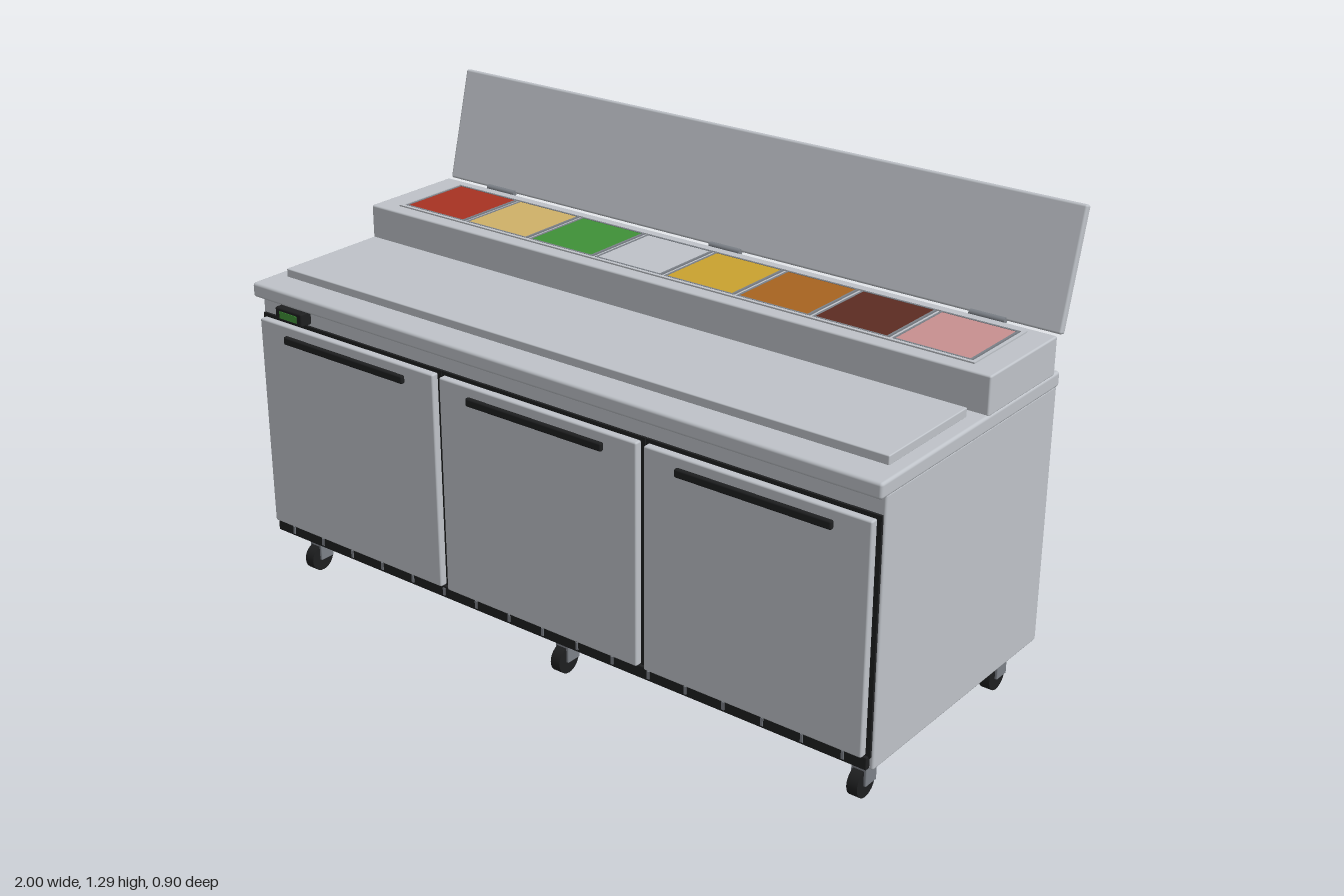
import * as THREE from 'three';
import { RoundedBoxGeometry } from 'three/addons/geometries/RoundedBoxGeometry.js';

const mat = (name, color) => {
  const m = new THREE.MeshStandardMaterial({ color });
  m.name = name;
  return m;
};

export function createModel() {
  const root = new THREE.Group();
  root.name = 'preparationRefrigerator';

  const steel = mat('stainlessSteel', 0xbfc3c9);
  const gunmetal = mat('darkSteel', 0x7c8188);
  const black = mat('black', 0x1e1f20);
  const green = mat('green', 0x3f9138);
  const red = mat('red', 0xa83222);
  const tan = mat('tan', 0xcfb168);
  const gold = mat('gold', 0xcaa22f);
  const orange = mat('orangeBrown', 0xa86420);
  const brown = mat('darkBrown', 0x5c2c22);
  const pink = mat('pink', 0xc89090);

  const add = (name, geometry, material, x = 0, y = 0, z = 0, parent = root) => {
    const mesh = new THREE.Mesh(geometry, material);
    mesh.name = name;
    mesh.position.set(x, y, z);
    parent.add(mesh);
    return mesh;
  };
  // Box given by its extents on each axis; r rounds the edges
  const box = (name, m, [x0, x1], [y0, y1], [z0, z1], r = 0, parent = root) => {
    const s = [x1 - x0, y1 - y0, z1 - z0];
    const g = r ? new RoundedBoxGeometry(...s, 2, r) : new THREE.BoxGeometry(...s);
    return add(name, g, m, (x0 + x1) / 2, (y0 + y1) / 2, (z0 + z1) / 2, parent);
  };

  // Cabinet, worktop, cutting board and raised ingredient rail
  box('cabinet', steel, [-0.995, 0.995], [0.133, 0.845], [-0.36, 0.41], 0.006);
  box('worktop', steel, [-1, 1], [0.843, 0.884], [-0.362, 0.44], 0.008);
  box('cuttingBoard', steel, [-0.96, 0.96], [0.882, 0.907], [0.015, 0.35], 0.003);
  box('ingredientRail', steel, [-0.998, 0.998], [0.88, 0.983], [-0.336, -0.018], 0.005);

  // Flat rectangular frame lying in the xz plane
  const frame = (w, d, border, h) => {
    const rect = (P, a, b) => new P([
      new THREE.Vector2(-a, -b), new THREE.Vector2(a, -b),
      new THREE.Vector2(a, b), new THREE.Vector2(-a, b),
    ]);
    const s = rect(THREE.Shape, w / 2, d / 2);
    s.holes.push(rect(THREE.Path, w / 2 - border, d / 2 - border));
    return new THREE.ExtrudeGeometry(s, { depth: h, bevelEnabled: false }).rotateX(-Math.PI / 2);
  };
  add('railOpeningRim', frame(1.86, 0.25, 0.01, 0.004), steel, 0, 0.983, -0.184);

  // Row of ingredient pans
  [red, tan, green, steel, gold, orange, brown, pink].forEach((m, i) => {
    const x = (i - 3.5) * 0.2303;
    const pan = new THREE.Group();
    pan.name = 'pan';
    pan.position.set(x, 0.982, -0.184);
    root.add(pan);
    add('panRim', frame(0.219, 0.228, 0.006, 0.005), gunmetal, 0, 0, 0, pan);
    box('panContents', m, [-0.104, 0.104], [0, 0.004], [-0.109, 0.109], 0, pan);
  });

  // Open lid, tilted back on three hinges
  const lid = add('lid', new RoundedBoxGeometry(2, 0.318, 0.022, 2, 0.006), steel, 0, 1.133, -0.399);
  lid.rotation.x = -0.262;
  for (const x of [-0.8, 0, 0.8]) {
    add('hinge', new THREE.CylinderGeometry(0.009, 0.009, 0.1, 12).rotateZ(Math.PI / 2),
      gunmetal, x, 0.982, -0.346);
  }

  // Three doors with gaskets and bar handles
  for (const x of [-0.66, 0, 0.66]) {
    const door = new THREE.Group();
    door.name = 'door';
    door.position.x = x;
    root.add(door);
    box('gasket', black, [-0.329, 0.329], [0.168, 0.794], [0.408, 0.417], 0, door);
    box('doorPanel', steel, [-0.319, 0.319], [0.175, 0.786], [0.417, 0.44], 0.005, door);
    box('handle', black, [-0.22, 0.22], [0.737, 0.76], [0.438, 0.452], 0.005, door);
  }

  // Ventilation grille along the bottom
  box('grille', black, [-0.985, 0.985], [0.137, 0.172], [0.409, 0.425], 0.003);
  for (let i = 0; i < 17; i++) {
    const x = (i - 8) * 0.115;
    box('grilleSlat', gunmetal, [x - 0.004, x + 0.004], [0.144, 0.166], [0.421, 0.427]);
  }

  // Temperature display
  box('displayBezel', black, [-0.91, -0.81], [0.8, 0.838], [0.408, 0.446], 0.005);
  box('displayScreen', green, [-0.892, -0.828], [0.809, 0.829], [0.444, 0.448]);

  // Six casters
  for (const x of [-0.92, 0, 0.92]) {
    for (const z of [0.34, -0.28]) {
      const caster = new THREE.Group();
      caster.name = 'caster';
      caster.position.set(x, 0, z);
      root.add(caster);
      add('mountPlate', new THREE.BoxGeometry(0.06, 0.01, 0.06), gunmetal, 0, 0.129, 0, caster);
      box('fork', gunmetal, [-0.022, 0.022], [0.034, 0.089], [-0.036, 0.011], 0.003, caster);
      add('wheel', new THREE.CylinderGeometry(0.039, 0.039, 0.03, 24).rotateZ(Math.PI / 2),
        black, 0, 0.039, 0, caster);
    }
  }
  return root;
}
